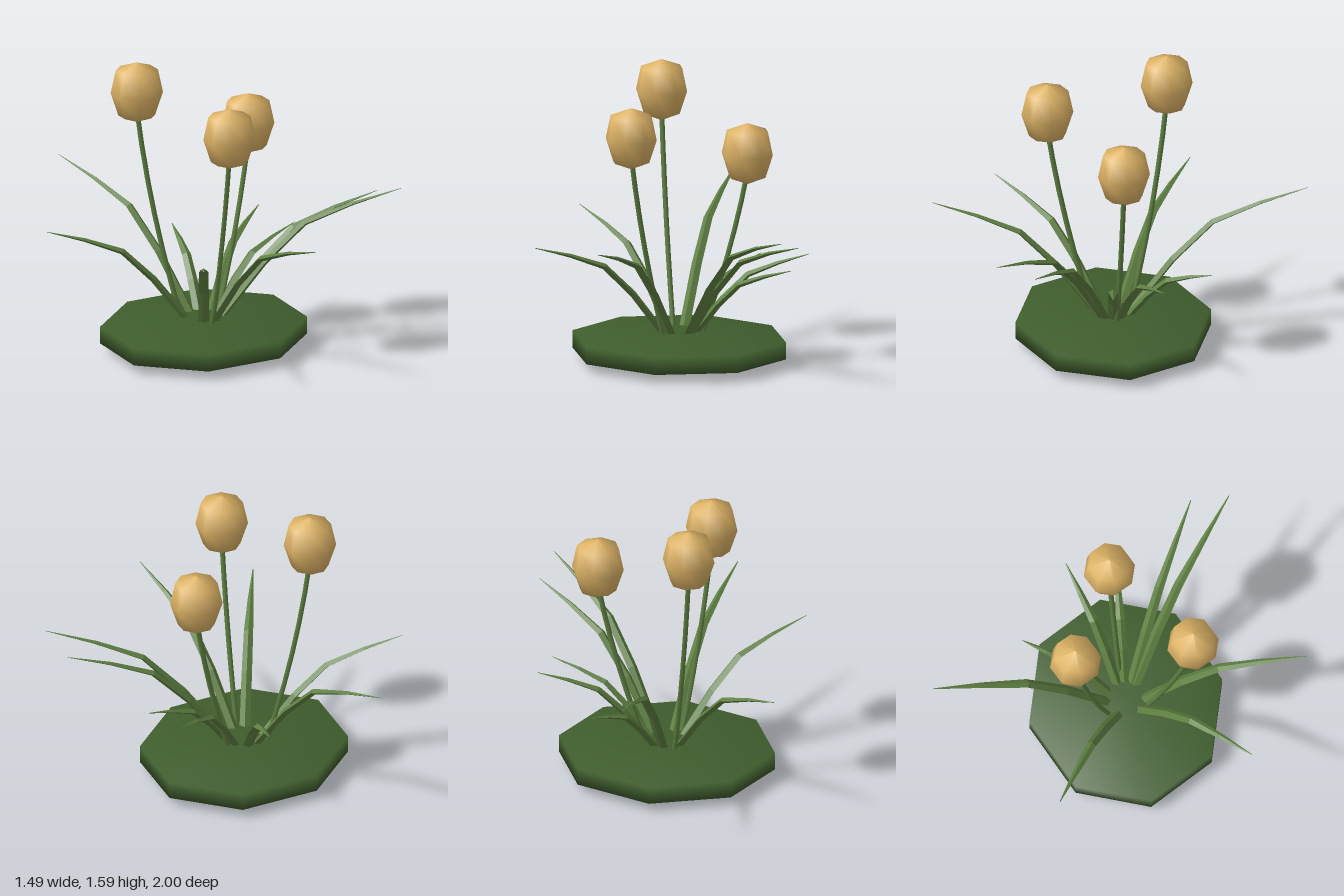
import * as THREE from 'three';

const CX = -0.06, CZ = 0.05, GROUND = 0.15;

function material(name, color) {
  const m = new THREE.MeshStandardMaterial({ color });
  m.name = name;
  return m;
}

// Tapered, four-sided blade that arches outward along +x
function bladeGeometry(reach, height) {
  const run = [0, 0.25, 0.47, 0.73, 1];
  const rise = [0, 0.45, 0.75, 0.89, 1];
  const width = [0.029, 0.028, 0.025, 0.016, 0.002];
  const pts = run.map((f, i) => new THREE.Vector2(0.08 + (reach - 0.08) * f, GROUND + (height - GROUND) * rise[i]));
  const pos = [], index = [];
  pts.forEach((p, i) => {
    const t = pts[Math.min(i + 1, 4)].clone().sub(pts[Math.max(i - 1, 0)]).normalize();
    for (let k = 0; k < 4; k++) {
      const a = k * Math.PI / 2;
      const n = Math.cos(a) * width[i] * 0.65, s = Math.sin(a) * width[i];
      pos.push(p.x - t.y * n, p.y + t.x * n, s);
    }
  });
  for (let i = 0; i < 4; i++) {
    for (let k = 0; k < 4; k++) {
      const a = i * 4 + k, b = i * 4 + (k + 1) % 4;
      index.push(a, b, a + 4, b, b + 4, a + 4);
    }
  }
  const indexed = new THREE.BufferGeometry();
  indexed.setAttribute('position', new THREE.Float32BufferAttribute(pos, 3));
  indexed.setIndex(index);
  const geo = indexed.toNonIndexed();
  geo.computeVertexNormals();
  return geo;
}

export function createModel() {
  const model = new THREE.Group();
  model.name = 'flowerClump';
  const moss = material('moss green', 0x3f5d2d);
  const leafGreen = material('leaf green', 0x5e7f41);
  const petal = material('petal yellow', 0xdcb265);

  const add = (parent, name, geo, mat) => {
    const mesh = new THREE.Mesh(geo, mat);
    mesh.name = name;
    parent.add(mesh);
    return mesh;
  };

  // Flattened eight-sided mound
  const mound = add(model, 'mound', new THREE.SphereGeometry(1, 8, 3), moss);
  mound.scale.set(0.681, 0.095, 0.612);
  mound.position.set(CX, 0.095, CZ);

  // Leaves, each given by its tip
  const tips = [
    [-0.01, 0.855, -1.0], [-0.745, 0.715, -0.475], [0.27, 0.51, -0.44], [0.615, 0.595, -0.12],
    [0.585, 0.56, 0.15], [0.74, 0.795, 0.6], [0.695, 0.86, 0.8], [-0.27, 0.79, 1.0], [-0.72, 0.71, 0.59],
  ];
  for (const [x, y, z] of tips) {
    const dx = x - CX, dz = z - CZ;
    const leaf = add(model, 'leaf', bladeGeometry(Math.hypot(dx, dz), y), leafGreen);
    leaf.position.set(CX, 0, CZ);
    leaf.rotation.y = Math.atan2(-dz, dx);
  }

  // Egg-shaped flower heads on leaning stems
  const headProfile = [[0, -0.168], [0.1, -0.128], [0.141, -0.002], [0.114, 0.125], [0, 0.168]]
    .map(([r, y]) => new THREE.Vector2(r, y));
  const headGeo = new THREE.LatheGeometry(headProfile, 8);
  const heads = [[0.317, 1.168, 0.05], [-0.237, 1.418, -0.268], [-0.242, 1.292, 0.378]];
  for (const [x, y, z] of heads) {
    const flower = new THREE.Group();
    flower.name = 'flower';
    flower.position.set(CX, 0, CZ);
    flower.rotation.y = Math.atan2(CZ - z, x - CX);
    const reach = Math.hypot(x - CX, z - CZ);
    const path = new THREE.QuadraticBezierCurve3(
      new THREE.Vector3(0.12, GROUND, 0),
      new THREE.Vector3(0.29, GROUND + (y - GROUND) * 0.45, 0),
      new THREE.Vector3(reach, y - 0.1, 0));
    add(flower, 'stem', new THREE.TubeGeometry(path, 6, 0.014, 6), leafGreen);
    model.add(flower);
    add(model, 'flowerHead', headGeo, petal).position.set(x, y, z);
  }
  return model;
}
